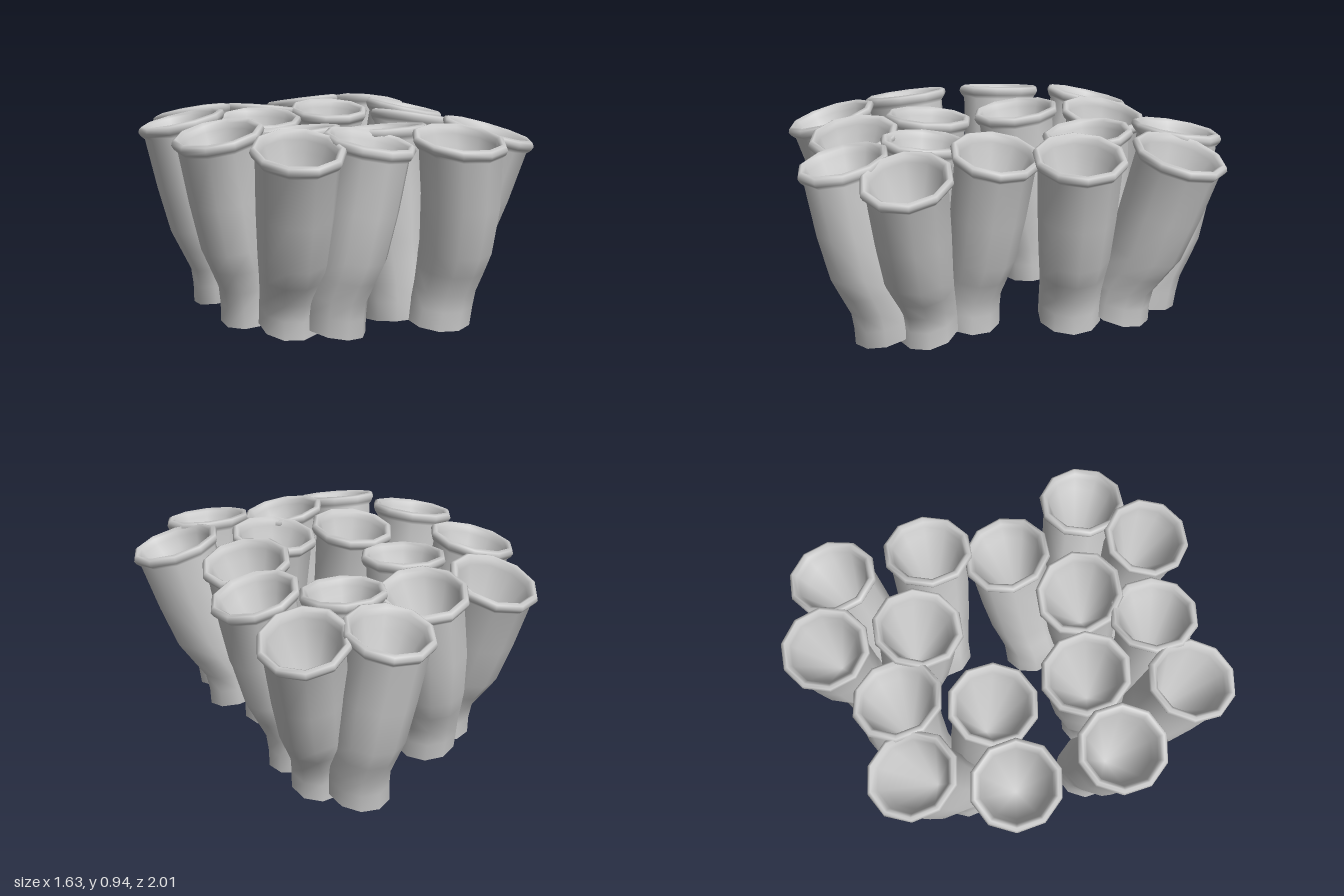
import * as THREE from 'three';

const SIDES = 10;

// Wall profile from the foot over the rolled lip to the inner edge: [height share, share of lean, radius]
const PROFILE = [
  [0, 0, 0.143], [0.1, 0.02, 0.141], [0.19, 0.08, 0.14], [0.3, 0.28, 0.148], [0.41, 0.47, 0.158],
  [0.66, 0.71, 0.171], [0.93, 0.95, 0.179], [0.95, 0.965, 0.194], [0.972, 0.98, 0.203],
  [0.992, 0.99, 0.197], [1, 1, 0.183], [0.985, 0.99, 0.167], [0.955, 0.97, 0.16], [0.9, 0.92, 0.141],
];
const FUNNEL_TIP = [0.5, 0.58];

// Four tubes of a cluster: foot and mouth [x, z], sideways bow at mid height, height and tilt of the mouth
const TUBES = [
  { foot: [-0.11, -0.25], mouth: [-0.29, -0.187], bow: [0, 0], height: 0.87, tilt: 1 },
  { foot: [0.14, -0.13], mouth: [0.1, -0.217], bow: [0, 0], height: 0.875, tilt: 1 },
  { foot: [-0.01, -0.035], mouth: [-0.088, 0.234], bow: [0, 0], height: 0.84, tilt: 0.85 },
  { foot: [0.154, 0.07], mouth: [0.272, 0.183], bow: [-0.015, 0.035], height: 0.86, tilt: 1 },
];

// Clusters: centre, turn about y in degrees, mirrored or not
const CLUSTERS = [
  { name: 'frontRightCluster', x: -0.33, z: 0.5, turn: 0, mirror: 1 },
  { name: 'backRightCluster', x: -0.33, z: -0.377, turn: 0, mirror: -1 },
  { name: 'frontLeftCluster', x: 0.378, z: 0.478, turn: -135, mirror: -1 },
  { name: 'backLeftCluster', x: 0.43, z: -0.505, turn: -209, mirror: 1 },
];

// Loft slightly oval rings along a leaning, bent axis and close the mouth with a funnel
function tubeGeometry({ foot, mouth, bow, height, tilt }) {
  const lean = [mouth[0] - foot[0], mouth[1] - foot[1]];
  const slope = lean.map((d) => (d / 0.87) * tilt);
  const lift = Math.hypot(...slope) * 0.14;
  const axis = (h, share) => {
    const bend = Math.sin(Math.PI * h);
    return [
      foot[0] + lean[0] * share + bow[0] * bend,
      lift + h * height,
      foot[1] + lean[1] * share + bow[1] * bend,
    ];
  };
  const positions = [];
  const index = [];
  PROFILE.forEach(([h, share, r], row) => {
    const [cx, cy, cz] = axis(h, share);
    for (let i = 0; i < SIDES; i++) {
      const a = ((i + 0.5) / SIDES) * Math.PI * 2;
      const ox = Math.cos(a) * r;
      const oz = Math.sin(a) * r * 1.05;
      positions.push(cx + ox, cy - slope[0] * ox - slope[1] * oz, cz + oz);
      if (row === 0) continue;
      const next = (i + 1) % SIDES;
      const low = (row - 1) * SIDES;
      const high = row * SIDES;
      index.push(low + i, high + i, low + next, low + next, high + i, high + next);
    }
  });
  // Funnel down to a single tip
  const last = (PROFILE.length - 1) * SIDES;
  positions.push(...axis(...FUNNEL_TIP));
  for (let i = 0; i < SIDES; i++) {
    index.push(last + i, last + SIDES, last + ((i + 1) % SIDES));
  }
  const geometry = new THREE.BufferGeometry();
  geometry.setAttribute('position', new THREE.Float32BufferAttribute(positions, 3));
  geometry.setIndex(index);
  geometry.computeVertexNormals();
  return geometry;
}

export function createModel() {
  const model = new THREE.Group();
  model.name = 'tubeClusters';
  const material = new THREE.MeshStandardMaterial({ color: 0xcccccc, side: THREE.DoubleSide });
  const geometries = TUBES.map(tubeGeometry);

  for (const { name, x, z, turn, mirror } of CLUSTERS) {
    const cluster = new THREE.Group();
    cluster.name = name;
    geometries.forEach((geometry, i) => {
      const tube = new THREE.Mesh(geometry, material);
      tube.name = `tube${i + 1}`;
      cluster.add(tube);
    });
    cluster.position.set(x, 0, z);
    cluster.rotation.y = THREE.MathUtils.degToRad(turn);
    cluster.scale.z = mirror;
    model.add(cluster);
  }
  return model;
}
